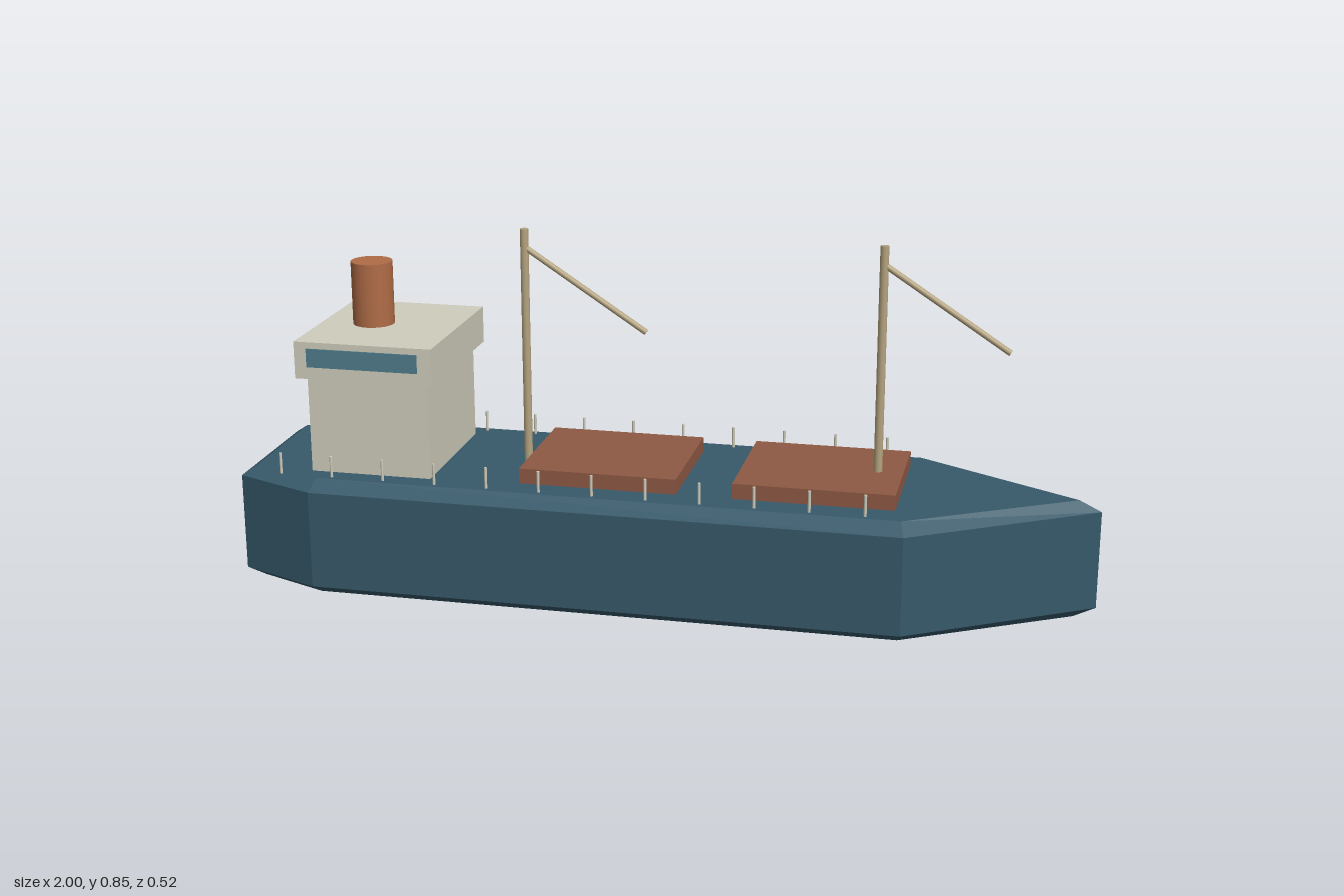
import * as THREE from 'three';

const material = (name, color) => {
  const m = new THREE.MeshStandardMaterial({ color });
  m.name = name;
  return m;
};

export function createModel() {
  const ship = new THREE.Group();
  ship.name = 'cargoShip';

  const hullBlue = material('hull blue', 0x37596a);
  const cream = material('cream', 0xcfcdbc);
  const rust = material('hatch rust', 0x8f5a45);
  const orange = material('funnel orange', 0xb06c47);
  const tan = material('mast tan', 0xb5a480);
  const glass = material('window blue', 0x4f7d8c);

  const DECK = 0.283;

  const add = (name, geometry, mat, parent = ship) => {
    const mesh = new THREE.Mesh(geometry, mat);
    mesh.name = name;
    parent.add(mesh);
    return mesh;
  };

  // Box given by its extents in x and y and its half width in z
  const box = (name, x0, x1, y0, y1, halfZ, mat) => {
    const mesh = add(name, new THREE.BoxGeometry(x1 - x0, y1 - y0, halfZ * 2), mat);
    mesh.position.set((x0 + x1) / 2, (y0 + y1) / 2, 0);
    return mesh;
  };

  // Round bar between two points
  const bar = (name, from, to, radius, sides, mat, parent = ship) => {
    const dir = to.clone().sub(from);
    const mesh = add(name, new THREE.CylinderGeometry(radius, radius, dir.length(), sides), mat, parent);
    mesh.position.copy(from).add(to).multiplyScalar(0.5);
    mesh.quaternion.setFromUnitVectors(new THREE.Vector3(0, 1, 0), dir.normalize());
    return mesh;
  };
  const v = (x, y, z = 0) => new THREE.Vector3(x, y, z);

  // Hull: deck outline extruded upwards with chamfered edges
  const outline = new THREE.Shape([
    [-1, -0.175], [-0.8, -0.26], [0.58, -0.26], [1, 0],
    [0.58, 0.26], [-0.8, 0.26], [-1, 0.175],
  ].map(([x, y]) => new THREE.Vector2(x, y)));
  const hull = new THREE.ExtrudeGeometry(outline, {
    depth: DECK - 0.05,
    bevelEnabled: true,
    bevelThickness: 0.025,
    bevelSize: 0.036,
    bevelOffset: -0.036,
    bevelSegments: 1,
  });
  hull.translate(0, 0, 0.025).rotateX(-Math.PI / 2);
  add('hull', hull, hullBlue);

  // Deckhouse, bridge and funnel
  box('deckhouse', -0.82, -0.53, DECK, 0.515, 0.175, cream);
  box('bridge', -0.84, -0.51, 0.515, 0.603, 0.2, cream);
  bar('funnel', v(-0.717, 0.6), v(-0.717, 0.754), 0.049, 32, orange);

  // Bridge windows on both sides
  for (const side of [1, -1]) {
    const pane = add('bridgeWindow', new THREE.BoxGeometry(0.266, 0.044, 0.006), glass);
    pane.position.set(-0.677, 0.566, side * 0.2);
  }

  // Cargo hatches
  for (const x of [-0.32, 0.18]) box('cargoHatch', x, x + 0.37, DECK, 0.319, 0.159, rust);

  // Masts with slanting booms
  for (const x of [-0.342, 0.491]) {
    const crane = new THREE.Group();
    crane.name = 'crane';
    ship.add(crane);
    bar('mast', v(x, DECK), v(x, 0.848), 0.01, 12, tan, crane);
    bar('boom', v(x, 0.805), v(x + 0.288, 0.617), 0.007, 10, tan, crane);
  }

  // Rail posts along both edges of the deck
  for (const side of [1, -1]) {
    for (let i = 0; i < 12; i++) {
      const x = -0.884 + i * 0.1248;
      bar('railPost', v(x, DECK, side * 0.209), v(x, 0.333, side * 0.209), 0.0035, 8, cream);
    }
  }

  return ship;
}
